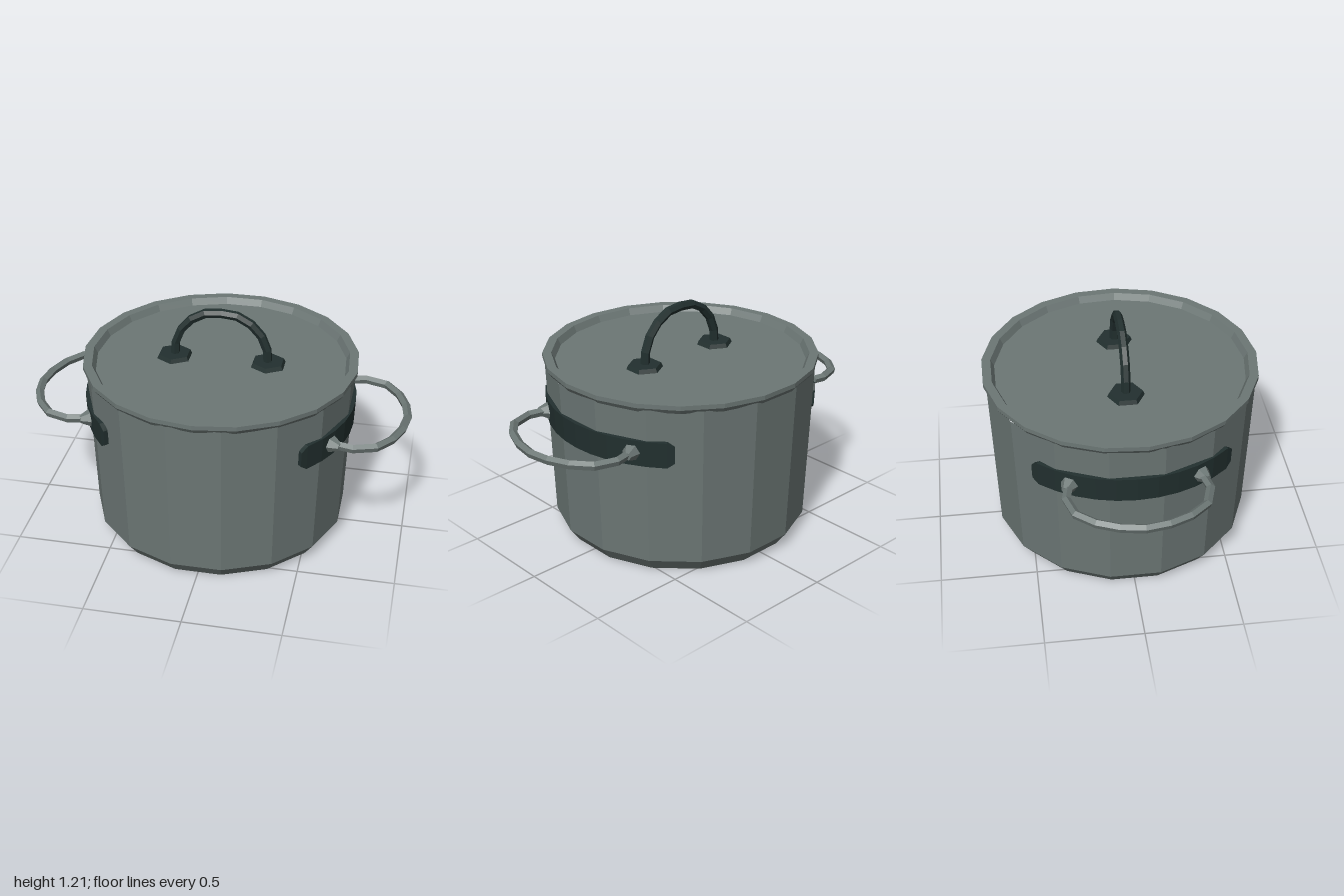
import * as THREE from 'three';

export function createModel() {
  const model = new THREE.Group();
  model.name = 'cookingPot';

  const material = (name, color) => {
    const m = new THREE.MeshStandardMaterial({ color, flatShading: true });
    m.name = name;
    return m;
  };
  const steel = material('steel', 0x6c7775);
  const dark = material('darkTrim', 0x22302f);

  const add = (parent, name, geometry, mat) => {
    const mesh = new THREE.Mesh(geometry, mat);
    mesh.name = name;
    parent.add(mesh);
    return mesh;
  };
  const lathe = (points, sides, start = 0) =>
    new THREE.LatheGeometry(points.map(([r, y]) => new THREE.Vector2(r, y)), sides, start);
  const tube = (points, radius, steps, sides) =>
    new THREE.TubeGeometry(
      new THREE.CatmullRomCurve3(points.map((p) => new THREE.Vector3(...p))), steps, radius, sides);

  // Tapered body with a chamfered base, a flat side facing forward
  add(model, 'body', lathe([[0, 0], [0.62, 0.003], [0.673, 0.075], [0.703, 0.92]],
    16, Math.PI / 16), steel);

  // Rolled rim sloping in to a sunken lid
  add(model, 'rim', lathe([[0.68, 0.905], [0.697, 0.908], [0.714, 0.932], [0.714, 0.955],
    [0.668, 0.955], [0.65, 0.92]], 21), steel);
  add(model, 'lid', lathe([[0.652, 0.92], [0, 0.92]], 21), steel);

  // Arched lid handle on two hexagonal feet
  const lidHandle = new THREE.Group();
  lidHandle.name = 'lidHandle';
  model.add(lidHandle);
  add(lidHandle, 'lidArch', tube([[-0.245, 0.92, 0], [-0.238, 1.01, 0], [-0.185, 1.115, 0],
    [-0.08, 1.183, 0], [0, 1.19, 0], [0.08, 1.183, 0], [0.185, 1.115, 0],
    [0.238, 1.01, 0], [0.245, 0.92, 0]], 0.024, 10, 6), dark);
  for (const side of [-1, 1]) {
    const foot = add(lidHandle, 'lidFoot', new THREE.CylinderGeometry(0.085, 0.096, 0.024, 6), dark);
    foot.position.set(side * 0.247, 0.93, 0);
  }

  // Curved side plate: a box bent around the body, with clipped end corners
  const plate = new THREE.BoxGeometry(0.04, 0.135, 2, 1, 1, 12);
  const pos = plate.attributes.position;
  for (let i = 0; i < pos.count; i++) {
    const t = pos.getZ(i);
    const isEnd = Math.abs(t) > 0.99;
    const angle = THREE.MathUtils.degToRad(isEnd ? Math.sign(t) * 45 : (t * 12 / 10) * 42);
    const y = pos.getY(i) * (isEnd ? 0.6 : 1);
    const r = 0.685 + pos.getX(i) + y * 0.04;
    pos.setXYZ(i, r * Math.cos(angle), 0.688 + y, r * Math.sin(angle));
  }
  plate.computeVertexNormals();

  // Looped side handle and its pointed mounts
  const loop = tube([[0.62, 0.69, 0.325], [0.74, 0.69, 0.35], [0.86, 0.69, 0.305],
    [0.945, 0.688, 0.165], [0.979, 0.686, 0], [0.945, 0.688, -0.165], [0.86, 0.69, -0.305],
    [0.74, 0.69, -0.35], [0.62, 0.69, -0.325]], 0.023, 10, 5);
  const mount = new THREE.CylinderGeometry(0.02, 0.054, 0.07, 6);
  mount.rotateZ(-Math.PI / 2);
  mount.translate(0.72, 0.69, 0);

  for (const turn of [0, Math.PI]) {
    const side = new THREE.Group();
    side.name = turn ? 'rightHandle' : 'leftHandle';
    side.rotation.y = turn;
    model.add(side);
    add(side, 'handlePlate', plate, dark);
    add(side, 'handleLoop', loop, steel);
    for (const s of [-1, 1]) add(side, 'handleMount', mount, steel).rotation.y = s * 0.48;
  }

  return model;
}
